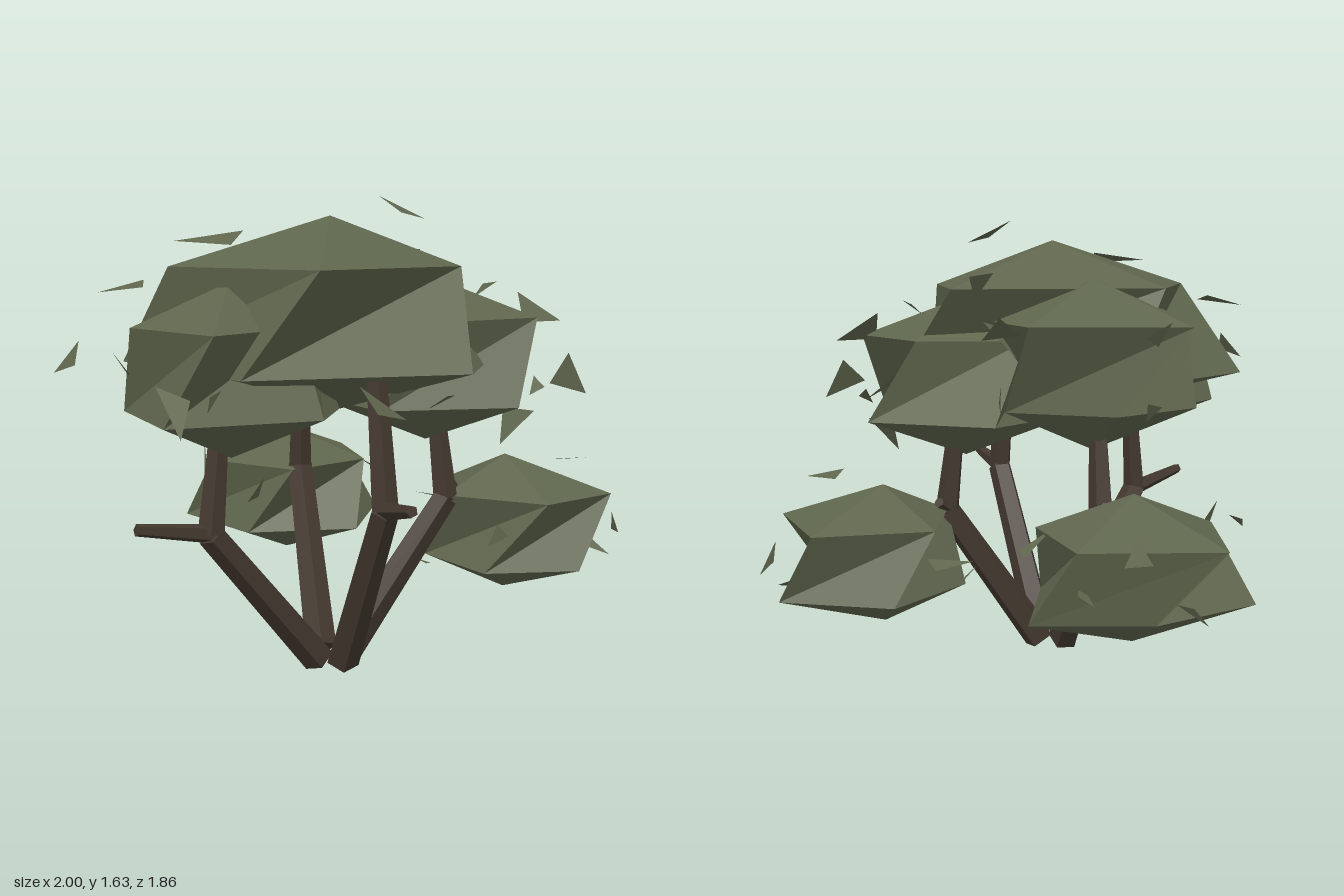
import * as THREE from 'three';

const V = (x, y, z) => new THREE.Vector3(x, y, z);

// Small seeded random generator
function makeRandom(seed) {
  return () => {
    seed = (seed * 16807) % 2147483647;
    return seed / 2147483647;
  };
}

// Foliage clumps: middle [x, y, z], half height, upper and lower rings as [x, z]
const clumps = [
  { name: 'crownMain', c: [-0.11, 1.23, 0.24], h: 0.33,
    up: [[0.34, -0.17], [0.3, 0.42], [-0.21, 0.83], [-0.65, 0.33], [-0.4, -0.23]],
    low: [[0.5, 0.07], [0.29, 0.65], [-0.44, 0.74], [-0.81, 0.09], [-0.22, -0.36]] },
  { name: 'crownRight', c: [-0.46, 1.07, 0.49], h: 0.28,
    up: [[-0.17, 0.22], [-0.25, 0.58], [-0.52, 0.86], [-0.77, 0.5], [-0.63, 0.18]],
    low: [[-0.1, 0.4], [-0.18, 0.66], [-0.67, 0.78], [-0.8, 0.36], [-0.52, 0.12]] },
  { name: 'crownLeft', c: [0.24, 1.07, 0.14], h: 0.29,
    up: [[0.45, -0.08], [0.6, 0.28], [0.18, 0.48], [-0.1, 0.2], [0.08, -0.15]],
    low: [[0.61, 0.02], [0.5, 0.43], [0.03, 0.45], [-0.14, 0.05], [0.2, -0.22]] },
  { name: 'crownBack', c: [-0.16, 1.13, -0.16], h: 0.3,
    up: [[-0.39, -0.55], [0.13, -0.43], [0.2, 0], [-0.15, 0.2], [-0.52, -0.1]],
    low: [[-0.17, -0.44], [0.17, -0.24], [0.08, 0.13], [-0.33, 0.15], [-0.51, -0.26]] },
  { name: 'lowClumpLeft', c: [0.56, 0.45, 0.03], h: 0.25,
    up: [[0.91, 0.2], [0.63, 0.36], [0.31, 0.15], [0.41, -0.22], [0.83, -0.22]],
    low: [[0.76, 0.32], [0.42, 0.31], [0.27, 0], [0.56, -0.27], [0.94, -0.1]] },
  { name: 'lowClumpBack', c: [-0.2, 0.49, -0.53], h: 0.25,
    up: [[-0.4, -0.88], [0.06, -0.79], [0.1, -0.4], [-0.2, -0.2], [-0.5, -0.45]],
    low: [[-0.2, -0.78], [0.19, -0.69], [0.05, -0.26], [-0.37, -0.25], [-0.6, -0.62]] },
];

// Limbs: base, elbow, tip, and the end of the cut side twig
const limbs = [
  { name: 'limbRight', pts: [[-0.16, 0.04, 0.28], [-0.53, 0.55, 0.52], [-0.5, 0.86, 0.49]], twig: [-0.76, 0.6, 0.65] },
  { name: 'limbFront', pts: [[-0.08, 0.04, 0.32], [0.01, 0.64, 0.66], [-0.01, 1.08, 0.6]], twig: [0.06, 0.68, 0.86] },
  { name: 'limbLeft', pts: [[-0.05, 0.04, 0.2], [0.31, 0.57, 0.15], [0.28, 0.86, 0.13]], twig: [0.35, 0.61, 0.1] },
  { name: 'limbBack', pts: [[-0.14, 0.04, 0.17], [-0.17, 0.62, -0.25], [-0.17, 0.92, -0.2]], twig: [-0.15, 0.66, -0.36] },
];

// Loose leaves around the outline, three corners each
const looseLeaves = [
  [[-1, 1.08, 0.56], [-0.92, 1.18, 0.59], [-0.93, 1.11, 0.64]],
  [[-0.88, 1.31, 0.27], [-0.73, 1.35, 0.25], [-0.73, 1.33, 0.36]],
  [[-0.63, 1.48, 0.76], [-0.43, 1.51, 0.82], [-0.47, 1.47, 0.91]],
  [[0.07, 1.63, 0.13], [0.22, 1.55, 0.2], [0.13, 1.57, 0.25]],
  [[0.66, 1.11, 0.45], [0.73, 0.97, 0.43], [0.57, 1.02, 0.54]],
  [[0.47, 0.78, 0.3], [0.58, 0.9, 0.33], [0.5, 0.9, 0.22]],
  [[0.68, 0.72, 0.27], [0.82, 0.71, 0.2], [0.72, 0.7, 0.17]],
  [[0.94, 0.49, 0.13], [1, 0.39, 0.04], [0.95, 0.42, 0.1]],
  [[-0.14, 0.6, -0.93], [-0.07, 0.58, -0.86], [-0.12, 0.66, -0.83]],
  [[0.55, 1.3, 0.2], [0.7, 1.2, 0.22], [0.55, 1.2, 0.28]],
  [[-0.05, 0.98, 0.9], [-0.1, 1.06, 0.87], [0.05, 0.95, 0.82]],
  [[-0.69, 1.06, 0.8], [-0.59, 1.02, 0.82], [-0.62, 0.92, 0.93]],
  [[0.22, 1.31, -0.4], [0.14, 1.25, -0.36], [0.26, 1.23, -0.3]],
  [[0.2, 1.45, -0.2], [0.27, 1.36, -0.23], [0.3, 1.44, -0.3]],
  [[-0.3, 1.3, -0.6], [-0.22, 1.25, -0.57], [-0.27, 1.22, -0.55]],
  [[-0.47, 0.7, -0.8], [-0.4, 0.73, -0.86], [-0.5, 0.66, -0.73]],
];

// Mesh from a list of triangles, each three corners
function triangleMesh(name, triangles, material) {
  const g = new THREE.BufferGeometry();
  g.setAttribute('position', new THREE.Float32BufferAttribute(triangles.flat(2), 3));
  g.computeVertexNormals();
  const mesh = new THREE.Mesh(g, material);
  mesh.name = name;
  return mesh;
}

// Clump with two twisted rings of five between a top and a bottom point
function clumpMesh({ name, c: [x, y, z], h, up, low }, material) {
  const top = [x, y + h, z];
  const bottom = [x, y - h, z];
  const u = up.map(([px, pz]) => [px, y + h * 0.5, pz]);
  const l = low.map(([px, pz]) => [px, y - h * 0.5, pz]);
  const triangles = [];
  for (let i = 0; i < 5; i++) {
    const j = (i + 1) % 5;
    triangles.push([top, u[j], u[i]], [u[i], u[j], l[j]], [u[i], l[j], l[i]], [bottom, l[i], l[j]]);
  }
  return triangleMesh(name, triangles, material);
}

// Tapered five-sided stick between two points
function stick(name, a, b, r0, r1, material) {
  const dir = b.clone().sub(a);
  const mesh = new THREE.Mesh(new THREE.CylinderGeometry(r1, r0, dir.length(), 5), material);
  mesh.name = name;
  mesh.position.copy(a).addScaledVector(dir, 0.5);
  mesh.quaternion.setFromUnitVectors(V(0, 1, 0), dir.normalize());
  return mesh;
}

export function createModel() {
  const model = new THREE.Group();
  model.name = 'tree';
  const foliage = new THREE.MeshStandardMaterial({ color: 0x5f664d, flatShading: true, side: THREE.DoubleSide });
  foliage.name = 'foliage green';
  const bark = new THREE.MeshStandardMaterial({ color: 0x43382f, flatShading: true });
  bark.name = 'bark brown';

  // Bent limbs with side twigs
  for (const { name, pts, twig } of limbs) {
    const [base, elbow, tip] = pts.map((p) => V(...p));
    const limb = new THREE.Group();
    limb.name = name;
    limb.add(
      stick('lowerLimb', base, elbow, 0.058, 0.047, bark),
      stick('upperLimb', elbow, tip, 0.045, 0.033, bark),
      stick('twig', elbow, V(...twig), 0.032, 0.02, bark),
    );
    model.add(limb);
  }

  // Faceted clumps
  for (const clump of clumps) model.add(clumpMesh(clump, foliage));

  // Leaves: the loose ones, then a few scattered close to each clump
  const corners = [...looseLeaves];
  const rand = makeRandom(4711);
  for (const { c, h } of clumps) {
    const r = h > 0.32 ? 0.55 : 0.36;
    for (let i = 0; i < 5; i++) {
      const a = (i + rand() * 0.6) * Math.PI * 0.4;
      const t = rand() * 1.1 - 0.5;
      const k = Math.sqrt(1 - t * t);
      const p = [c[0] + r * k * Math.cos(a), c[1] + h * t, c[2] + r * k * Math.sin(a)];
      corners.push([0, 1, 2].map(() => p.map((v) => v + (rand() - 0.5) * 0.15)));
    }
  }
  const leaves = new THREE.Group();
  leaves.name = 'leaves';
  for (const tri of corners) leaves.add(triangleMesh('leaf', [tri], foliage));
  model.add(leaves);
  return model;
}
